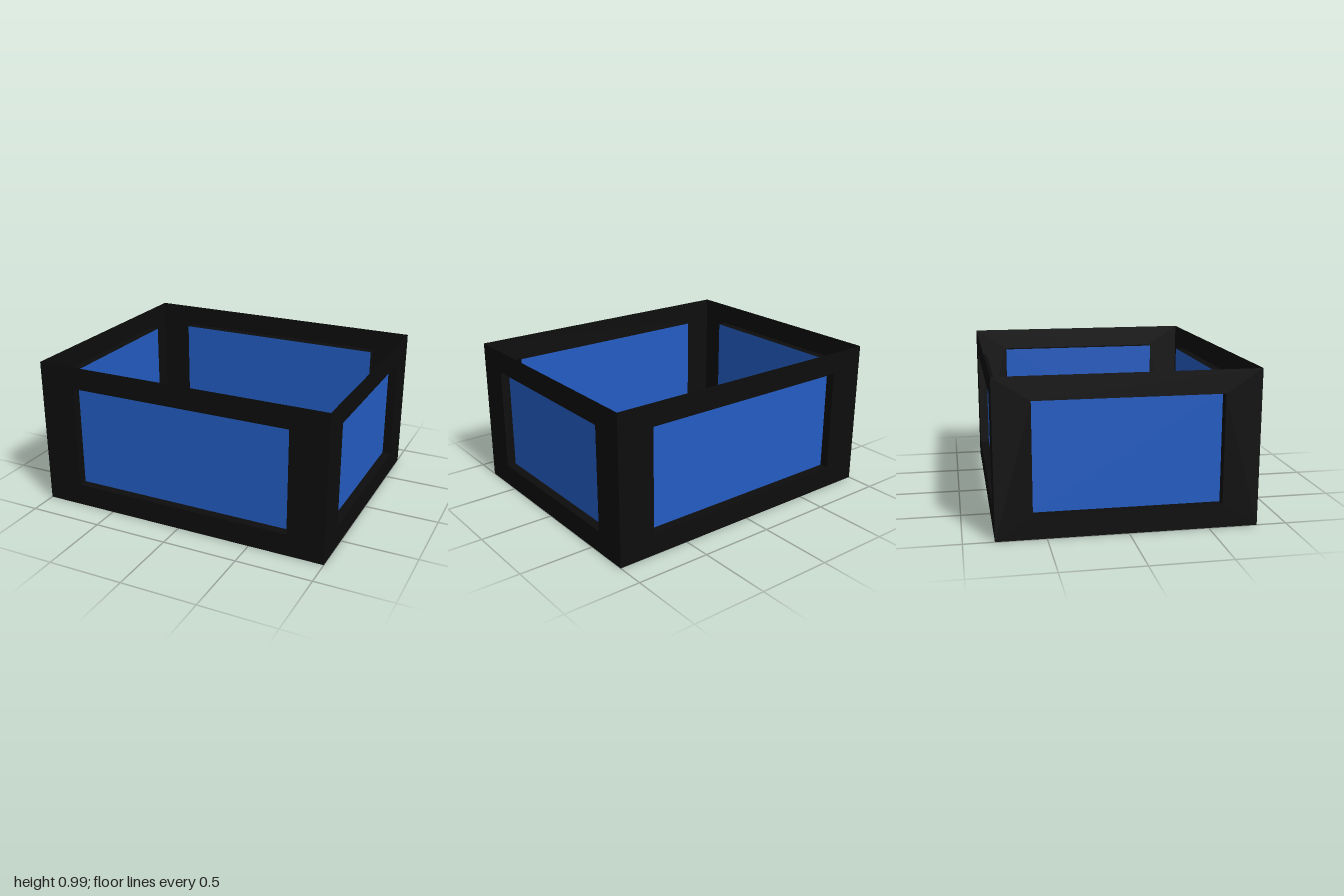
import * as THREE from 'three';

const HEIGHT = 0.99, DEPTH = 0.06;
const SILL = 0.148, HEAD = 0.842;

const black = new THREE.MeshStandardMaterial({ color: 0x0d0d0d, side: THREE.DoubleSide });
black.name = 'black frame';
const blue = new THREE.MeshStandardMaterial({ color: 0x235cc3, side: THREE.DoubleSide });
blue.name = 'blue glass';

function add(parent, name, geometry, material, x = 0, y = 0, z = 0) {
  const mesh = new THREE.Mesh(geometry, material);
  mesh.name = name;
  mesh.position.set(x, y, z);
  parent.add(mesh);
  return mesh;
}

// One thin wall facing +z, with a recessed window
function makeWall(name, halfWidth, halfWindow) {
  const wall = new THREE.Group();
  wall.name = name;
  const w = halfWindow, h = HEAD - SILL, mid = (HEAD + SILL) / 2;

  // Sheet with the window opening cut out
  const shape = new THREE.Shape([
    new THREE.Vector2(-halfWidth, 0), new THREE.Vector2(halfWidth, 0),
    new THREE.Vector2(halfWidth, HEIGHT), new THREE.Vector2(-halfWidth, HEIGHT),
  ]);
  shape.holes.push(new THREE.Path([
    new THREE.Vector2(-w, SILL), new THREE.Vector2(-w, HEAD),
    new THREE.Vector2(w, HEAD), new THREE.Vector2(w, SILL),
  ]));
  add(wall, 'wallFrame', new THREE.ShapeGeometry(shape), black);

  // Reveals running inward to the glass
  const flat = new THREE.PlaneGeometry(2 * w, DEPTH);
  const upright = new THREE.PlaneGeometry(DEPTH, h);
  for (const s of [-1, 1]) {
    add(wall, s < 0 ? 'windowSill' : 'windowHead', flat, black, 0, mid + s * h / 2, -DEPTH / 2)
      .rotation.x = s * Math.PI / 2;
    add(wall, 'windowJamb', upright, black, s * w, mid, -DEPTH / 2)
      .rotation.y = -s * Math.PI / 2;
  }

  // Glass at the inner end of the recess
  add(wall, 'windowGlass', new THREE.PlaneGeometry(2 * w, h), blue, 0, mid, -DEPTH);
  return wall;
}

export function createModel() {
  const model = new THREE.Group();
  model.name = 'windowedEnclosure';
  const halfX = 1, halfZ = 0.81;

  // Four walls around an open top and bottom
  ['frontWall', 'leftWall', 'backWall', 'rightWall'].forEach((name, i) => {
    const long = i % 2 === 0;
    const wall = long ? makeWall(name, halfX, 0.753) : makeWall(name, halfZ, 0.583);
    const angle = i * Math.PI / 2, reach = long ? halfZ : halfX;
    wall.rotation.y = angle;
    wall.position.set(Math.sin(angle) * reach, 0, Math.cos(angle) * reach);
    model.add(wall);
  });
  return model;
}
